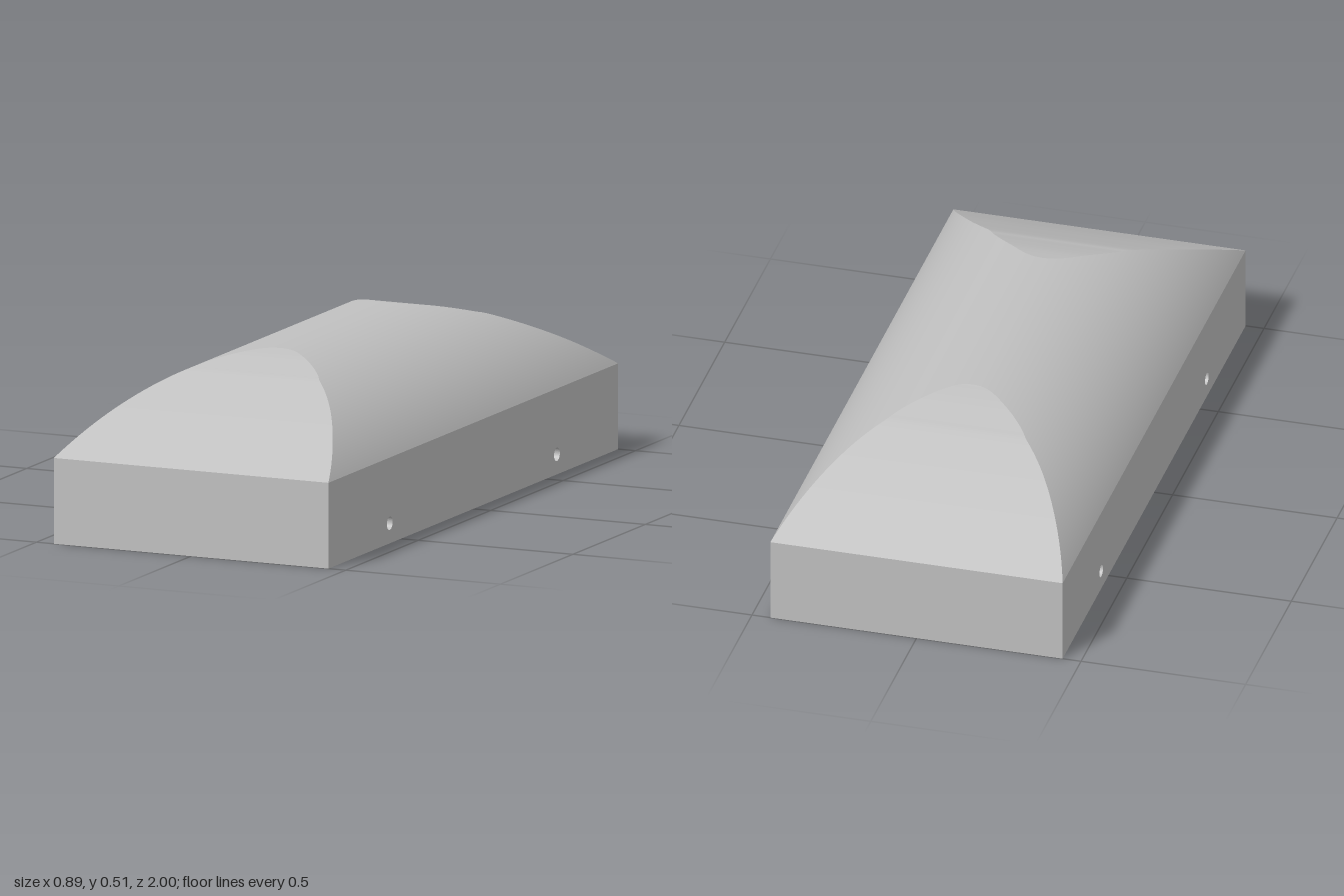
import * as THREE from 'three';

const HALF_W = 0.444, BASE_H = 0.256, TOP = 0.511, HALF_L = 1;
const RISE = TOP - BASE_H;
const RADIUS = (HALF_W ** 2 + RISE ** 2) / (2 * RISE); // radius of the arched roof
const arcX = y => Math.sqrt(Math.max(0, RADIUS ** 2 - (y - TOP + RADIUS) ** 2));

// Smooth surface through rows of two points each
function strip(rows) {
  const index = [];
  for (let j = 0; j < rows.length - 1; j++) {
    const a = 2 * j;
    index.push(a, a + 1, a + 3, a, a + 3, a + 2);
  }
  const geometry = new THREE.BufferGeometry();
  geometry.setAttribute('position', new THREE.Float32BufferAttribute(rows.flat(2), 3));
  geometry.setIndex(index);
  geometry.computeVertexNormals();
  return geometry;
}

export function createModel() {
  const group = new THREE.Group();
  const grey = new THREE.MeshStandardMaterial({ color: 0xc0c0c0 });
  grey.name = 'grey';
  const add = (name, geometry) => {
    const mesh = new THREE.Mesh(geometry, grey);
    mesh.name = name;
    group.add(mesh);
    return mesh;
  };

  // Base block with two cross holes
  const side = new THREE.Shape([
    new THREE.Vector2(-HALF_L, 0), new THREE.Vector2(HALF_L, 0),
    new THREE.Vector2(HALF_L, BASE_H), new THREE.Vector2(-HALF_L, BASE_H),
  ]);
  for (const s of [-1, 1]) {
    side.holes.push(new THREE.Path().absarc(s * 0.577, 0.06, 0.02, 0, Math.PI * 2, true));
  }
  const base = new THREE.ExtrudeGeometry(side, { depth: 2 * HALF_W, bevelEnabled: false, curveSegments: 24 });
  base.translate(0, 0, -HALF_W).rotateY(Math.PI / 2);
  add('base', base);

  // Curved end profile (z, y), from the base edge up to the ridge
  const profile = new THREE.SplineCurve([
    [HALF_L, BASE_H], [0.8, 0.36], [0.6, 0.452], [0.535, 0.474], [0.45, 0.498], [0.38, TOP],
  ].map(([z, y]) => new THREE.Vector2(z, y))).getPoints(60)
    .map(p => ({ x: arcX(p.y), y: p.y, z: p.x }));

  // Arched roof running between the two ends
  const across = [
    ...profile.map(p => ({ ...p, x: -p.x })),
    ...profile.slice(0, -1).reverse(),
  ];
  add('archedRoof', strip(across.map(p => [[p.x, p.y, -p.z], [p.x, p.y, p.z]])));

  // Sloping ends
  const end = strip(profile.map(p => [[-p.x, p.y, p.z], [p.x, p.y, p.z]]));
  add('frontSlope', end);
  add('backSlope', end).rotation.y = Math.PI;

  return group;
}
